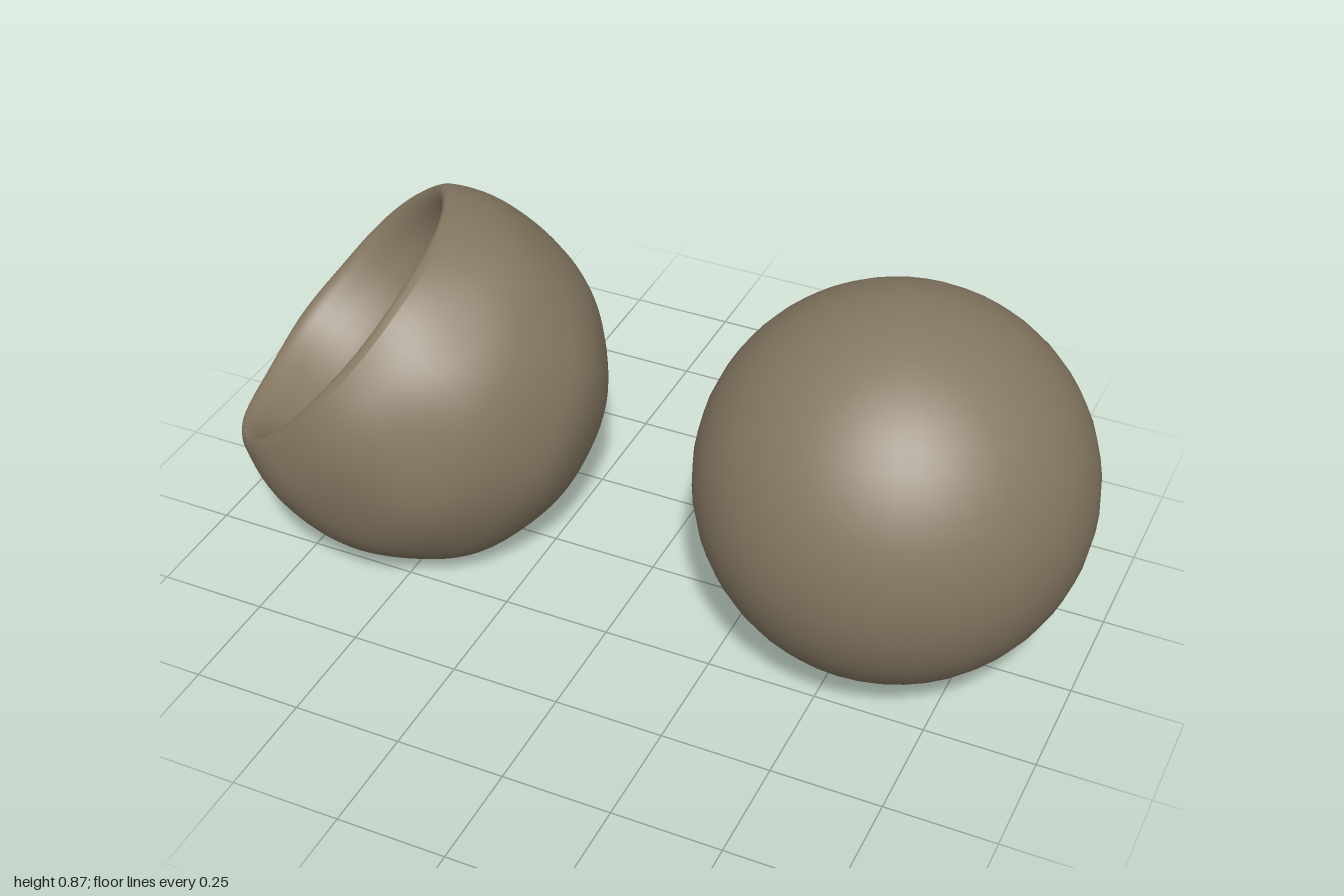
import * as THREE from 'three';
import { mergeVertices } from 'three/addons/utils/BufferGeometryUtils.js';

const R = 0.433;

// Collapsed ball: a sphere whose cap is pushed inwards, spun around the dent's axis
function dentedBallGeometry(centre, axis) {
  const pts = [];
  const steps = 36, rimAngle = 1.06;
  for (let i = 0; i <= steps; i++) {
    const a = Math.PI - (Math.PI - rimAngle) * i / steps;
    pts.push(new THREE.Vector2(Math.max(0, Math.sin(a) * R), Math.cos(a) * R));
  }
  // Rounded rim and inner bowl
  const bowl = new THREE.SplineCurve([
    pts[pts.length - 1],
    new THREE.Vector2(0.357, 0.226),
    new THREE.Vector2(0.332, 0.205),
    new THREE.Vector2(0.305, 0.13),
    new THREE.Vector2(0.255, 0.05),
    new THREE.Vector2(0.15, -0.02),
    new THREE.Vector2(0, -0.04),
  ]);
  pts.push(...bowl.getPoints(36).slice(1));
  pts[pts.length - 1].x = 0;

  let geo = new THREE.LatheGeometry(pts, 72);
  geo.deleteAttribute('uv');
  geo.deleteAttribute('normal');
  geo = mergeVertices(geo, 1e-4);
  geo.applyQuaternion(new THREE.Quaternion().setFromUnitVectors(new THREE.Vector3(0, 1, 0), axis));

  const pos = geo.attributes.position;
  const p = new THREE.Vector3();
  for (let i = 0; i < pos.count; i++) {
    p.fromBufferAttribute(pos, i);
    // Soft lumps of the slack skin
    const lump = Math.sin(p.x * 15 + 1) * Math.sin(p.y * 14) * Math.sin(p.z * 15 + 1.6);
    p.multiplyScalar(1 + 0.014 * lump);
    p.add(centre);
    // Flattened, slightly hollow underside
    const q = Math.hypot(p.x - centre.x, p.z - centre.z) / 0.19;
    const floor = q < 1 ? 0.06 * (1 - q * q) ** 2 : 0;
    p.y = Math.max(p.y, floor);
    pos.setXYZ(i, p.x, p.y, p.z);
  }
  geo.computeVertexNormals();
  return geo;
}

export function createModel() {
  const model = new THREE.Group();
  model.name = 'twoBalls';
  const skin = new THREE.MeshStandardMaterial({ color: 0x857862 });
  skin.name = 'dull tan';

  // Inflated ball
  const fullBall = new THREE.Mesh(new THREE.SphereGeometry(R, 40, 28), skin);
  fullBall.name = 'fullBall';
  fullBall.position.set(0.567, 0.438, 0);

  // Deflated ball, dent facing up, sideways and a little forward
  const axis = new THREE.Vector3(-0.7, 0.66, 0.24).normalize();
  const flatBall = new THREE.Mesh(dentedBallGeometry(new THREE.Vector3(-0.59, 0.38, 0), axis), skin);
  flatBall.name = 'deflatedBall';

  model.add(fullBall, flatBall);
  return model;
}
